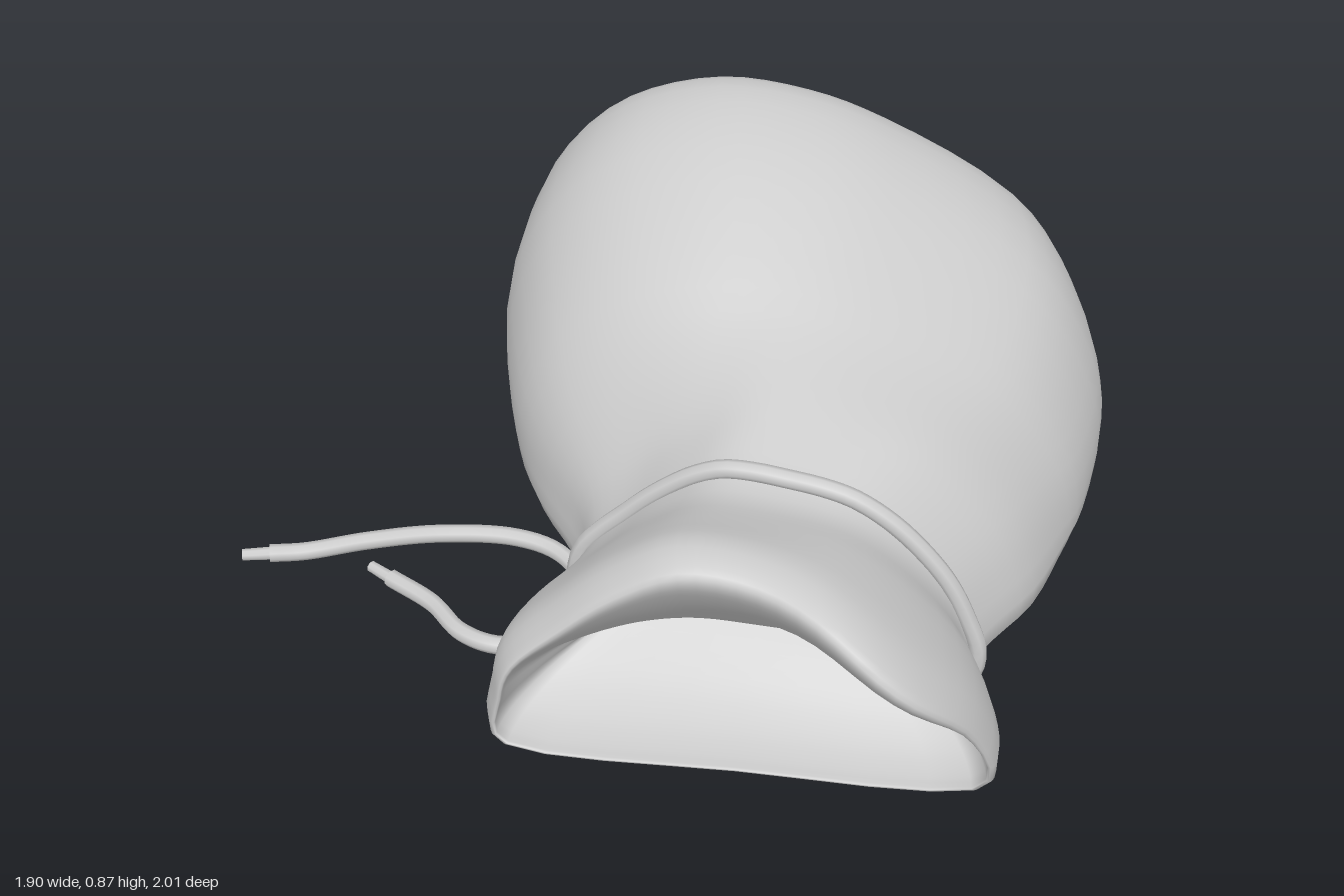
import * as THREE from 'three';

const { smoothstep, clamp, lerp } = THREE.MathUtils;
const material = new THREE.MeshStandardMaterial({ color: 0xcccccc, side: THREE.DoubleSide });
const COLS = 48;
const ROWS_PER_SECTION = 3;

// Closed outline of a cross-section in unit space (u across, v up)
function outline(points) {
  const curve = new THREE.CatmullRomCurve3(
    points.map(([u, v]) => new THREE.Vector3(u, v, 0)), true, 'centripetal');
  return Array.from({ length: COLS }, (_, j) => curve.getPoint(j / COLS));
}
const bellyOutline = outline([[0, 0.3], [0.06, 0.7], [0.19, 0.92], [0.35, 1], [0.5, 0.975], [0.63, 0.9],
  [0.85, 0.69], [0.95, 0.46], [1, 0.16], [0.97, 0.015], [0.5, 0], [0.06, 0.03]]);
const mouthOutline = outline([[0, 0.28], [0.03, 0.46], [0.13, 0.66], [0.25, 0.86], [0.38, 0.99], [0.54, 0.99],
  [0.7, 0.94], [0.86, 0.74], [0.99, 0.4], [1, 0.03], [0.5, 0], [0.01, 0.03]]);

// Outside of the sack from base to lip: z, left x, right x, top y
const outside = [
  [-1.0, 0.04, 0.04, 0.055],
  [-0.998, -0.07, 0.13, 0.13],
  [-0.96, -0.18, 0.24, 0.22],
  [-0.89, -0.27, 0.36, 0.36],
  [-0.80, -0.35, 0.50, 0.54],
  [-0.70, -0.405, 0.70, 0.71],
  [-0.57, -0.45, 0.86, 0.82],
  [-0.45, -0.465, 0.92, 0.86],
  [-0.25, -0.465, 0.945, 0.82],
  [0.0, -0.40, 0.90, 0.70],
  [0.15, -0.32, 0.84, 0.62],
  [0.30, -0.215, 0.765, 0.555],
  [0.40, -0.18, 0.68, 0.515],
  [0.48, -0.175, 0.635, 0.49],
  [0.56, -0.21, 0.64, 0.485],
  [0.66, -0.27, 0.67, 0.52],
  [0.76, -0.295, 0.685, 0.56],
  [0.83, -0.28, 0.68, 0.55],
];

// One cross-section: the outline turns from belly to mouth, the neck slants, the lip juts out on one side
function ring(z, left, right, bottom, top) {
  const blend = smoothstep(z, -0.1, 0.45);
  const slant = 0.1 * Math.exp(-(((z - 0.47) / 0.17) ** 2));
  const bulge = 0.155 * smoothstep(z, 0.6, 0.85);
  return bellyOutline.map((p, j) => {
    const q = p.clone().lerp(mouthOutline[j], blend);
    const x = lerp(left, right, q.x);
    const lip = Math.exp(-(((q.x - 0.82) / 0.2) ** 2)) * Math.sin(clamp(q.y / 0.75, 0, 1) * Math.PI / 2);
    return new THREE.Vector3(x, lerp(bottom, top, q.y), z + slant * (x - 0.23) / 0.85 + bulge * lip);
  });
}

// Sack skin: every column is a smooth curve from the base, over the lip, into the mouth
function buildSack() {
  const rings = outside.map(([z, left, right, top]) =>
    ring(z, left, right, 0.025 + 0.03 * (1 - smoothstep(z, -1, -0.9)), top));
  // Hollow lining that rolls in under the top lip and pinches to a slit inside the neck
  for (const t of [0, 0.12, 0.33, 0.6, 0.85, 1]) {
    const narrow = t * t;
    rings.push(ring(0.85 - 0.27 * t, lerp(-0.265, -0.05, narrow), lerp(0.665, 0.48, narrow),
      lerp(0.04, 0.18, narrow), lerp(0.52, 0.18, Math.pow(t, 0.8))));
  }
  const rows = (rings.length - 1) * ROWS_PER_SECTION;
  const positions = [], index = [];
  const columns = Array.from({ length: COLS }, (_, j) =>
    new THREE.CatmullRomCurve3(rings.map((r) => r[j]), false, 'catmullrom', 0.5));
  for (let i = 0; i <= rows; i++) {
    for (const column of columns) positions.push(...column.getPoint(i / rows).toArray());
  }
  for (let i = 0; i < rows; i++) {
    for (let j = 0; j < COLS; j++) {
      const a = i * COLS + j, b = i * COLS + (j + 1) % COLS;
      index.push(a, a + COLS, b, b, a + COLS, b + COLS);
    }
  }
  const geometry = new THREE.BufferGeometry();
  geometry.setAttribute('position', new THREE.Float32BufferAttribute(positions, 3));
  geometry.setIndex(index);
  geometry.computeVertexNormals();
  return geometry;
}

function addMesh(group, name, geometry) {
  const mesh = new THREE.Mesh(geometry, material);
  mesh.name = name;
  group.add(mesh);
  return mesh;
}

// Loose cord end: a tube with a thinner tip
function addTail(group, name, points) {
  const path = points.map((p) => new THREE.Vector3(...p));
  const end = path[path.length - 1];
  const dir = end.clone().sub(path[path.length - 2]).normalize();
  end.addScaledVector(dir, -0.06);
  addMesh(group, name, new THREE.TubeGeometry(new THREE.CatmullRomCurve3(path), 40, 0.02, 8));
  const tip = addMesh(group, name + 'Tip', new THREE.CylinderGeometry(0.013, 0.015, 0.07, 8));
  tip.position.copy(end).addScaledVector(dir, 0.025);
  tip.quaternion.setFromUnitVectors(new THREE.Vector3(0, 1, 0), dir);
}

export function createModel() {
  const model = new THREE.Group();
  model.name = 'drawstringPouch';
  addMesh(model, 'sack', buildSack());

  // Drawstring pulled round the neck
  const cord = new THREE.Group();
  cord.name = 'drawstring';
  model.add(cord);
  const neck = ring(0.485, -0.185, 0.645, 0.02, 0.5).filter((_, j) => j % 2 === 0);
  const loop = new THREE.CatmullRomCurve3(neck, true);
  addMesh(cord, 'neckLoop', new THREE.TubeGeometry(loop, 96, 0.02, 8, true));

  addTail(cord, 'longTail', [[-0.19, 0.06, 0.45], [-0.19, 0.08, 0.37], [-0.25, 0.09, 0.305], [-0.35, 0.1, 0.28],
    [-0.52, 0.1, 0.29], [-0.68, 0.075, 0.305], [-0.82, 0.05, 0.33], [-0.95, 0.06, 0.37]]);
  addTail(cord, 'shortTail', [[-0.18, 0.06, 0.42], [-0.2, 0.05, 0.5], [-0.26, 0.045, 0.55], [-0.34, 0.045, 0.565],
    [-0.42, 0.045, 0.535], [-0.5, 0.045, 0.455], [-0.66, 0.05, 0.36]]);
  return model;
}
